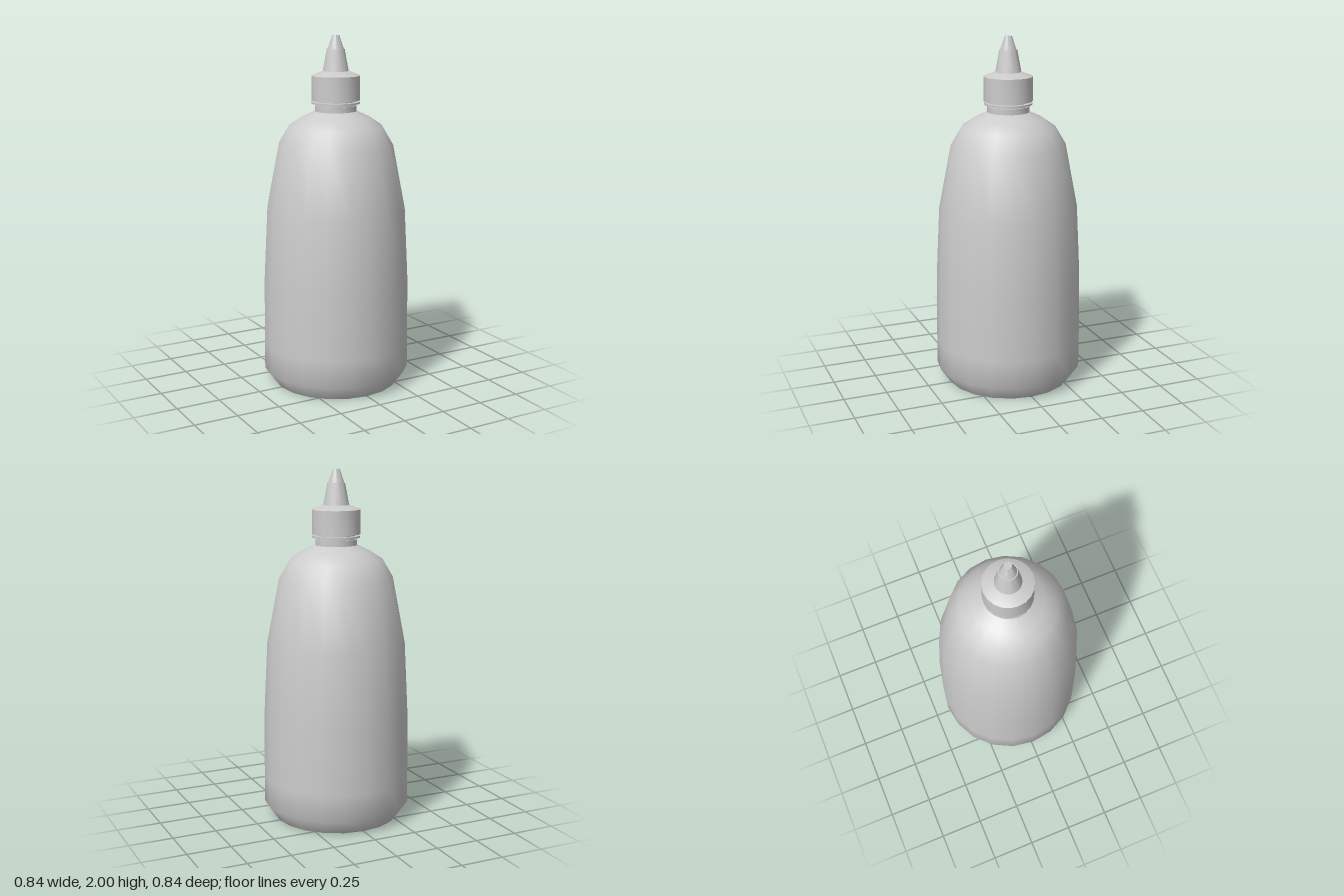
import * as THREE from 'three';
import { toCreasedNormals } from 'three/addons/utils/BufferGeometryUtils.js';

const SIDES = 20;
const material = new THREE.MeshStandardMaterial({ color: 0xcccccc });

// Turned part from [radius, height] pairs listed bottom to top
function turned(name, profile, sides = SIDES) {
  const points = profile.map(([r, y]) => new THREE.Vector2(r, y));
  const geometry = toCreasedNormals(new THREE.LatheGeometry(points, sides), 0.9);
  const mesh = new THREE.Mesh(geometry, material);
  mesh.name = name;
  return mesh;
}

export function createModel() {
  const group = new THREE.Group();
  group.name = 'squeezeBottle';

  group.add(
    // Tapered body with bevelled base and rounded shoulder
    turned('body', [
      [0, 0], [0.36, 0], [0.42, 0.085], [0.42, 0.24], [0.416, 0.62], [0.395, 1.03],
      [0.325, 1.393], [0.265, 1.495], [0.195, 1.543], [0.117, 1.58],
    ]),
    // Neck rising into the cap
    turned('neck', [[0.118, 1.572], [0.118, 1.612], [0.108, 1.612], [0.108, 1.66]]),
    // Thin band just under the cap
    turned('neckBand', [[0.105, 1.622], [0.136, 1.622], [0.136, 1.632], [0.105, 1.632]]),
    // Cap with a shallow sloping top
    turned('cap', [
      [0.1, 1.641], [0.137, 1.641], [0.137, 1.778], [0.073, 1.803], [0, 1.803],
    ]),
    // Stepped nozzle
    turned('nozzle', [
      [0.073, 1.8], [0.05, 1.925], [0.045, 1.925], [0.02, 2], [0, 2],
    ]),
  );
  return group;
}
